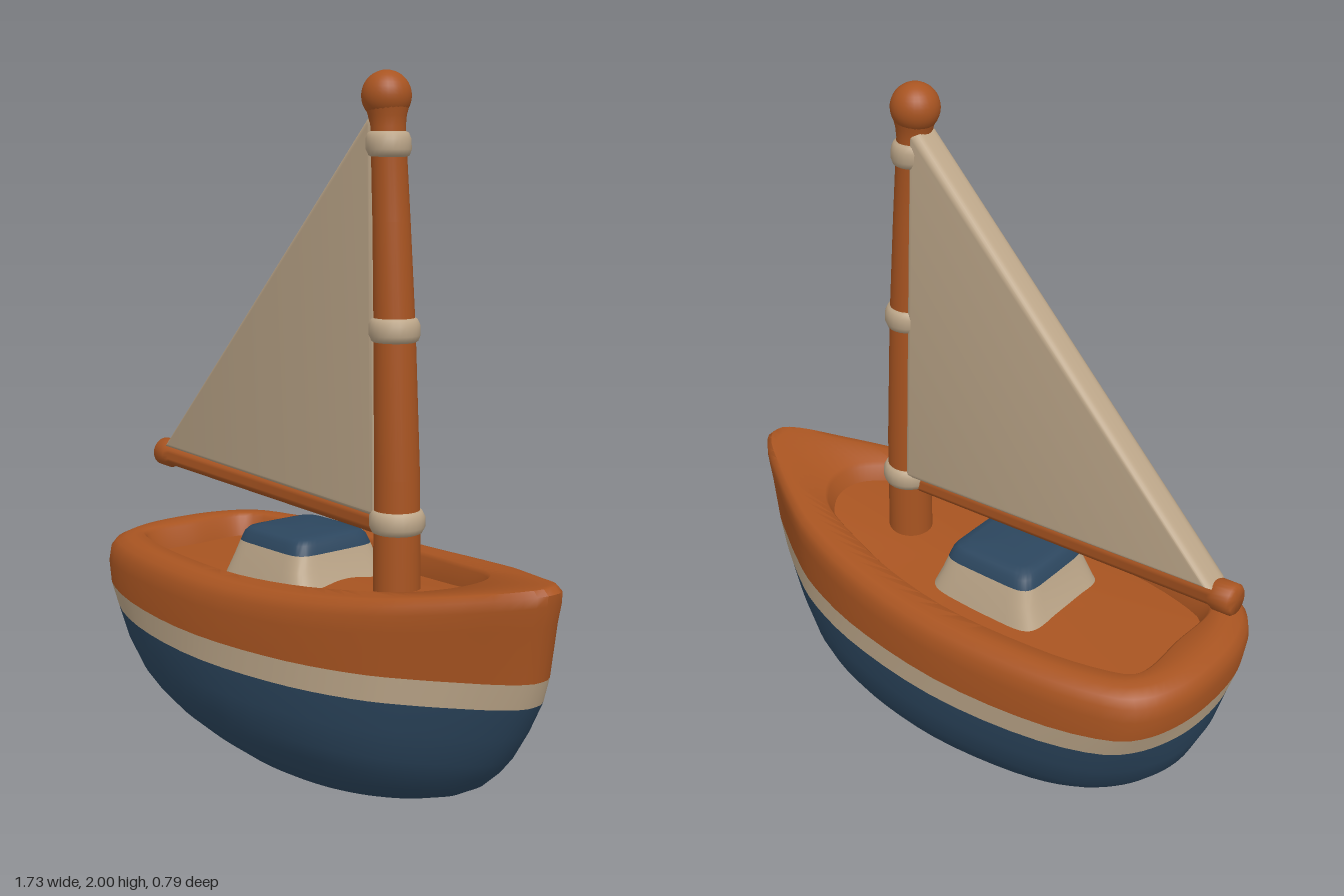
import * as THREE from 'three';
import { toCreasedNormals } from 'three/addons/utils/BufferGeometryUtils.js';

const material = (name, color) => {
  const m = new THREE.MeshStandardMaterial({ color });
  m.name = name;
  return m;
};
const V = (x, y, z) => new THREE.Vector3(x, y, z);
const lerp = THREE.MathUtils.lerp;
const SEG = 80;

// Closed plan outline from half a profile of [along 0..1, half width], bow first
function outline(half) {
  const pts = half.map(([s, h]) => V(s, 0, h));
  const mirrored = half.slice(1, -1).reverse().map(([s, h]) => V(s, 0, -h));
  return new THREE.CatmullRomCurve3([...pts, ...mirrored], true).getSpacedPoints(SEG).slice(0, SEG);
}

// Skin between rings of equal length, with optional flat caps
function loft(rings, { bottom = false, top = false, crease = 0.9 } = {}) {
  const n = rings[0].length, pos = [], idx = [];
  rings.forEach(r => r.forEach(p => pos.push(p.x, p.y, p.z)));
  for (let i = 0; i < rings.length - 1; i++) {
    for (let j = 0; j < n; j++) {
      const k = (j + 1) % n, a = i * n, b = a + n;
      idx.push(a + j, b + j, a + k, b + j, b + k, a + k);
    }
  }
  const cap = (ring, start, up) => {
    const c = ring.reduce((s, p) => s.add(p), V(0, 0, 0)).divideScalar(n);
    const ci = pos.length / 3;
    pos.push(c.x, c.y, c.z);
    for (let j = 0; j < n; j++) {
      const a = start + j, b = start + (j + 1) % n;
      idx.push(ci, up ? b : a, up ? a : b);
    }
  };
  if (bottom) cap(rings[0], 0, false);
  if (top) cap(rings.at(-1), (rings.length - 1) * n, true);
  const g = new THREE.BufferGeometry();
  g.setAttribute('position', new THREE.Float32BufferAttribute(pos, 3));
  g.setIndex(idx);
  return toCreasedNormals(g, crease);
}

// Height gained towards the stern and the bow
const rise = (x, stern, bow) =>
  stern * Math.max(0, (-x - 0.2) / 0.63) ** 2 + bow * Math.max(0, (x + 0.2) / 1.05) ** 2;

// Centre line of the slightly curved, raked mast
const mastX = y => 0.274 - 0.053 * Math.max(0, (y - 0.6) / 1.3) ** 1.8;
const circle = (y, r, n = 24) => Array.from({ length: n }, (_, j) => {
  const a = j / n * Math.PI * 2;
  return V(mastX(y) + r * Math.cos(a), y, r * Math.sin(a));
});

export function createModel() {
  const wood = material('orange wood', 0xa85421);
  const cream = material('cream', 0xbba588);
  const blue = material('navy blue', 0x2c465e);
  const model = new THREE.Group();
  model.name = 'sailboat';
  const add = (name, geometry, mat, parent = model) => {
    const m = new THREE.Mesh(geometry, mat);
    m.name = name;
    parent.add(m);
    return m;
  };

  // Hull sections: y, stern x, bow x, half width, stern rise, bow rise
  const plan = outline([[1, 0], [0.995, 0.09], [0.965, 0.22], [0.906, 0.385], [0.847, 0.54], [0.76, 0.73],
    [0.61, 0.91], [0.41, 1], [0.2, 0.94], [0.08, 0.81], [0.04, 0.68], [0.01, 0.4], [0, 0]]);
  const oval = outline([[1, 0], [0.93, 0.51], [0.75, 0.87], [0.5, 1], [0.25, 0.87], [0.07, 0.51], [0, 0]]);
  const levels = [
    [0, -0.23, 0.26, 0.14, 0, 0],
    [0.01, -0.33, 0.36, 0.19, 0, 0],
    [0.03, -0.44, 0.45, 0.225, 0, 0],
    [0.06, -0.55, 0.53, 0.262, 0, 0],
    [0.1, -0.64, 0.6, 0.3, 0, 0],
    [0.15, -0.705, 0.655, 0.335, 0, 0],
    [0.2, -0.748, 0.697, 0.36, 0, 0],
    [0.28, -0.79, 0.752, 0.382, 0.015, 0.01],
    [0.36, -0.815, 0.8, 0.392, 0.035, 0.025],
    [0.43, -0.832, 0.822, 0.395, 0.03, 0.027],
    [0.52, -0.84, 0.845, 0.394, 0, 0.09],
    [0.56, -0.836, 0.858, 0.388, 0, 0.105],
    [0.583, -0.82, 0.86, 0.374, 0, 0.11],
    [0.598, -0.79, 0.843, 0.35, 0, 0.113],
    [0.6, -0.765, 0.815, 0.33, 0, 0.112],
  ];
  const rings = levels.map(([y, xs, xb, w, st, bo]) => {
    const k = 0.8 * Math.max(0, 1 - y / 0.45);
    return plan.map((p, j) => {
      const q = p.clone().lerp(oval[j], k);
      const x = lerp(xs, xb, q.x);
      return V(x, y + rise(x, st, bo), q.z * w);
    });
  });

  // Cockpit opening, steep walls and a sunken floor that climbs towards the bow
  const well = outline([[1, 0], [0.98, 0.3], [0.92, 0.55], [0.8, 0.73], [0.65, 0.9], [0.45, 1],
    [0.2, 0.94], [0.05, 0.79], [0.01, 0.68], [0, 0]]);
  const wellRing = (xs, xb, w, y, climb) => well.map(p => {
    const x = lerp(xs, xb, p.x);
    return V(x, y + rise(x, 0, climb), p.z * w);
  });
  const cockpit = [
    wellRing(-0.705, 0.57, 0.29, 0.6, 0.112),
    wellRing(-0.695, 0.56, 0.282, 0.59, 0.112),
    wellRing(-0.675, 0.54, 0.27, 0.53, 0.15),
  ];

  const hull = new THREE.Group();
  hull.name = 'hull';
  model.add(hull);
  add('lowerHull', loft(rings.slice(0, 9), { bottom: true }), blue, hull);
  add('hullStripe', loft(rings.slice(8, 10)), cream, hull);
  add('upperHullAndCockpit', loft([...rings.slice(9), ...cockpit], { top: true }), wood, hull);

  // Cabin with flared walls and a painted roof
  const cabinRing = ([y, a, b]) => Array.from({ length: 48 }, (_, j) => {
    const t = j / 48 * Math.PI * 2, c = Math.cos(t), s = Math.sin(t);
    const soft = v => Math.sign(v) * Math.abs(v) ** 0.3;
    return V(-0.13 + a * soft(c), y, b * soft(s));
  });
  const eaves = [0.645, 0.156, 0.148];
  add('cabinWalls', loft([[0.52, 0.205, 0.187], [0.55, 0.192, 0.178], [0.6, 0.17, 0.164], eaves].map(cabinRing)), cream);
  add('cabinRoof', loft([eaves, [0.672, 0.146, 0.138], [0.685, 0.134, 0.126], [0.69, 0.11, 0.1]].map(cabinRing),
    { top: true }), blue);

  // Mast, ball finial and three bulging collars
  add('mast', loft([[0.5, 0.067], [0.9, 0.064], [1.3, 0.058], [1.6, 0.052], [1.85, 0.048], [1.88, 0.052], [1.92, 0.064]]
    .map(([y, r]) => circle(y, r)), { bottom: true, top: true }), wood);
  add('mastBall', new THREE.SphereGeometry(0.068, 28, 18), wood).position.set(mastX(1.932), 1.932, 0);
  for (const [y, r] of [[0.778, 0.078], [1.308, 0.071], [1.805, 0.062]]) {
    const bulge = [[-0.036, 0.72], [-0.03, 0.9], [-0.014, 1], [0.014, 1], [0.03, 0.9], [0.036, 0.72]];
    add('mastCollar', loft(bulge.map(([d, f]) => circle(y + d, r * f)), { bottom: true, top: true, crease: 1.2 }), cream);
  }

  // Boom with a thicker rounded end
  const start = V(-0.868, 0.809, 0), end = V(0.25, 0.762, 0);
  const length = start.distanceTo(end);
  const profile = [[0, 0], [0.038, 0], [0.045, 0.008], [0.045, 0.058], [0.037, 0.074], [0.037, length], [0, length]]
    .map(([r, h]) => new THREE.Vector2(r, h));
  const boom = add('boom', toCreasedNormals(new THREE.LatheGeometry(profile, 24), 0.9), wood);
  boom.position.copy(start);
  boom.quaternion.setFromUnitVectors(V(0, 1, 0), end.clone().sub(start).normalize());

  // Padded triangular sail, thickest at the foot of the mast
  const shape = new THREE.Shape([[-0.81, 0.835], [0.25, 0.785], [0.215, 1.88], [0.18, 1.875]]
    .map(([x, y]) => new THREE.Vector2(x, y)));
  const sail = new THREE.ExtrudeGeometry(shape, {
    depth: 0.036, bevelEnabled: true, bevelThickness: 0.026, bevelSize: 0.025, bevelOffset: -0.025, bevelSegments: 5,
  });
  sail.translate(0, 0, -0.018);
  const p = sail.attributes.position;
  for (let i = 0; i < p.count; i++) {
    const nearMast = (p.getX(i) + 0.81) / 1.06, low = 1 - (p.getY(i) - 0.785) / 1.1;
    p.setZ(i, p.getZ(i) * (1.03 + 0.32 * nearMast * low));
  }
  add('sail', toCreasedNormals(sail, 0.7), cream);

  return model;
}
